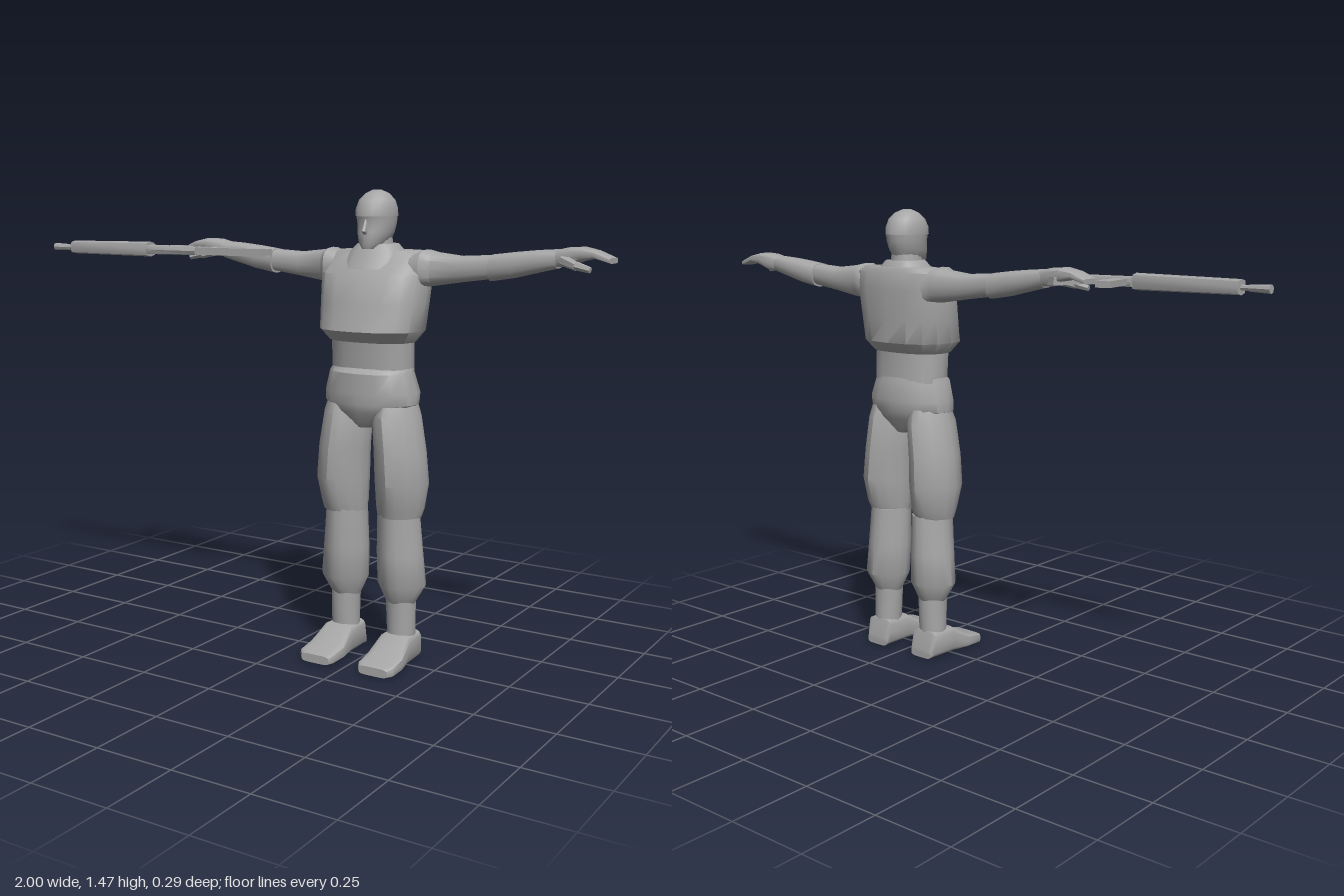
import * as THREE from 'three';
import { toCreasedNormals } from 'three/addons/utils/BufferGeometryUtils.js';

const grey = new THREE.MeshStandardMaterial({ color: 0xa6a6a6 });
grey.name = 'plain grey';

// Superellipse loft along an axis. Each section is [position, uMin, uMax, vMin, vMax, own power].
// Axis x: u = y, v = z.  Axis y: u = z, v = x.  Axis z: u = x, v = y.
function loft(axis, sections, power = 2.6, sides = 16) {
  const a = 'xyz'.indexOf(axis), u = (a + 1) % 3, v = (a + 2) % 3;
  const pos = [], idx = [];
  const push = (t, p, q) => { const o = []; o[a] = t; o[u] = p; o[v] = q; pos.push(...o); };
  const bend = (c, n) => Math.sign(c) * Math.pow(Math.abs(c), 2 / n);
  for (const [t, u0, u1, v0, v1, n = power] of sections) {
    for (let j = 0; j < sides; j++) {
      const w = (j / sides) * Math.PI * 2;
      push(t, (u0 + u1) / 2 + bend(Math.cos(w), n) * (u1 - u0) / 2, (v0 + v1) / 2 + bend(Math.sin(w), n) * (v1 - v0) / 2);
    }
  }
  const last = sections.length - 1, base = sections.length * sides;
  for (const s of [sections[0], sections[last]]) push(s[0], (s[1] + s[2]) / 2, (s[3] + s[4]) / 2);
  for (let j = 0; j < sides; j++) {
    const k = (j + 1) % sides;
    for (let i = 0; i < last; i++) {
      const p = i * sides, q = p + sides;
      idx.push(p + j, p + k, q + k, p + j, q + k, q + j);
    }
    idx.push(base, k, j, base + 1, last * sides + j, last * sides + k);
  }
  const g = new THREE.BufferGeometry();
  g.setAttribute('position', new THREE.Float32BufferAttribute(pos, 3));
  g.setIndex(idx);
  return toCreasedNormals(g, 0.7);
}

// Mirror across x = 0, keeping the faces pointing outward
function mirrored(g) {
  const m = g.clone(), p = m.attributes.position, n = m.attributes.normal;
  for (const at of [p, n]) {
    for (let i = 0; i < at.count; i += 3) {
      const t = [0, 2, 1].map((k) => [-at.getX(i + k), at.getY(i + k), at.getZ(i + k)]);
      t.forEach((c, k) => at.setXYZ(i + k, ...c));
    }
  }
  return m;
}

// Tapered rod between two points
function rod(from, to, r0, r1, sides = 6) {
  const a = new THREE.Vector3(...from), b = new THREE.Vector3(...to), d = b.clone().sub(a);
  const g = new THREE.CylinderGeometry(r1, r0, d.length(), sides).toNonIndexed();
  g.applyQuaternion(new THREE.Quaternion().setFromUnitVectors(new THREE.Vector3(0, 1, 0), d.normalize()));
  g.translate(...a.add(b).multiplyScalar(0.5).toArray());
  return toCreasedNormals(g, 0.7);
}

function add(group, name, g) {
  const m = new THREE.Mesh(g, grey);
  m.name = name;
  group.add(m);
}

export function createModel() {
  const model = new THREE.Group();
  const body = new THREE.Group();
  body.name = 'body';
  body.position.x = 0.257;
  model.add(body);
  const pair = (name, g) => {
    add(body, 'left' + name, g);
    add(body, 'right' + name, mirrored(g));
  };

  // Head, cap and neck
  add(body, 'head', loft('y', [
    [1.295, -0.02, 0.033, -0.02, 0.02], [1.312, -0.085, 0.038, -0.04, 0.04],
    [1.345, -0.104, 0.036, -0.052, 0.052], [1.372, -0.112, 0.032, -0.056, 0.056],
    [1.395, -0.115, 0.038, -0.058, 0.058],
  ], 2.1));
  add(body, 'cap', loft('y', [
    [1.392, -0.116, 0.04, -0.06, 0.06], [1.415, -0.114, 0.038, -0.06, 0.06],
    [1.44, -0.102, 0.024, -0.053, 0.053], [1.46, -0.08, 0.002, -0.036, 0.036], [1.471, -0.05, -0.025, -0.014, 0.014],
  ], 2.1));
  add(body, 'nose', loft('y', [
    [1.338, 0.02, 0.036, -0.009, 0.009], [1.348, 0.02, 0.051, -0.009, 0.009], [1.385, 0.015, 0.035, -0.005, 0.005],
  ], 2, 8));
  add(body, 'neck', loft('y', [[1.24, -0.1, 0.02, -0.055, 0.055], [1.33, -0.093, 0.012, -0.044, 0.044]], 2.2));

  // Torso
  add(body, 'chest', loft('y', [
    [1.015, -0.107, 0.07, -0.14, 0.14, 2.3], [1.05, -0.14, 0.107, -0.166, 0.166, 2.4],
    [1.13, -0.143, 0.085, -0.172, 0.172, 2.5], [1.22, -0.145, 0.06, -0.176, 0.176],
    [1.275, -0.142, 0.005, -0.162, 0.162], [1.29, -0.135, -0.005, -0.135, 0.135],
  ], 2.8));
  add(body, 'collar', loft('y', [
    [1.235, -0.13, 0.05, -0.1, 0.1], [1.285, -0.12, 0.025, -0.085, 0.085], [1.31, -0.105, 0.01, -0.06, 0.06],
  ]));
  add(body, 'waist', loft('y', [[0.92, -0.11, 0.06, -0.133, 0.133], [1.03, -0.107, 0.07, -0.133, 0.133]], 2.3));
  add(body, 'hips', loft('y', [
    [0.75, -0.085, 0.045, -0.03, 0.03], [0.8, -0.112, 0.075, -0.125, 0.125], [0.825, -0.12, 0.08, -0.155, 0.155],
    [0.86, -0.126, 0.081, -0.156, 0.156], [0.92, -0.115, 0.08, -0.138, 0.138], [0.935, -0.11, 0.062, -0.134, 0.134],
  ], 2.1));

  // Legs, with a soft ridge down the front, back and sides
  pair('Thigh', loft('y', [
    [0.473, -0.1, 0.048, 0.024, 0.172], [0.5, -0.112, 0.057, 0.02, 0.18], [0.58, -0.13, 0.08, 0.018, 0.192],
    [0.68, -0.125, 0.08, 0.014, 0.183], [0.79, -0.12, 0.075, 0.006, 0.164], [0.85, -0.1, 0.05, 0.02, 0.145],
  ], 1.6));
  pair('Shin', loft('y', [
    [0.19, -0.086, 0.008, 0.05, 0.148], [0.25, -0.117, 0.04, 0.022, 0.184],
    [0.35, -0.113, 0.044, 0.02, 0.174], [0.48, -0.106, 0.047, 0.024, 0.162],
  ], 1.65));
  pair('Ankle', loft('y', [[0.08, -0.087, 0.004, 0.057, 0.147], [0.21, -0.087, 0.01, 0.052, 0.148]], 2));
  pair('Foot', loft('z', [
    [-0.102, 0.058, 0.142, 0, 0.03], [-0.085, 0.053, 0.151, 0, 0.09], [0.005, 0.049, 0.157, 0, 0.091],
    [0.07, 0.042, 0.168, 0, 0.048], [0.13, 0.044, 0.168, 0, 0.036], [0.147, 0.054, 0.154, 0, 0.028],
  ], 4.5));

  // Arms stretched out to the sides
  pair('UpperArm', loft('x', [
    [0.13, 1.17, 1.28, -0.125, 0.01], [0.165, 1.182, 1.295, -0.12, 0.01], [0.19, 1.186, 1.288, -0.116, -0.015],
    [0.28, 1.2, 1.278, -0.104, -0.025], [0.39, 1.215, 1.284, -0.1, -0.024],
  ], 2.8));
  pair('Forearm', loft('x', [
    [0.378, 1.207, 1.285, -0.104, -0.017], [0.45, 1.219, 1.294, -0.106, -0.017],
    [0.52, 1.236, 1.301, -0.102, -0.022], [0.58, 1.25, 1.305, -0.096, -0.03],
  ], 2.8));
  // Mitten-like hand with bent fingers and a thumb
  pair('Hand', loft('x', [
    [0.57, 1.254, 1.302, -0.094, -0.034], [0.61, 1.256, 1.311, -0.103, -0.03], [0.65, 1.272, 1.313, -0.105, -0.029],
    [0.69, 1.281, 1.304, -0.105, -0.03], [0.738, 1.268, 1.284, -0.103, -0.033],
  ], 4));
  pair('Thumb', rod([0.6, 1.275, -0.04], [0.65, 1.26, -0.014], 0.017, 0.013));
  pair('ThumbTip', rod([0.645, 1.262, -0.016], [0.692, 1.251, -0.01], 0.013, 0.009));

  // Rifle lying along the right arm
  const rifle = new THREE.Group();
  rifle.name = 'rifle';
  model.add(rifle);
  const block = (name, x0, x1, y0, y1, z0, z1, turn = 0) => {
    const g = new THREE.BoxGeometry(x1 - x0, y1 - y0, z1 - z0).rotateY(turn);
    add(rifle, name, g.translate((x0 + x1) / 2, (y0 + y1) / 2, (z0 + z1) / 2));
  };
  add(rifle, 'muzzle', rod([-1, 1.274, 0.03], [-0.935, 1.274, 0.03], 0.013, 0.01, 8));
  add(rifle, 'barrel', rod([-0.945, 1.274, 0.03], [-0.56, 1.274, 0.03], 0.008, 0.008, 8));
  add(rifle, 'handguard', loft('x', [[-0.91, 1.253, 1.297, 0.007, 0.055], [-0.572, 1.25, 1.3, 0.005, 0.057]], 3, 8));
  add(rifle, 'receiver', loft('x', [[-0.574, 1.258, 1.29, -0.004, 0.057], [-0.37, 1.26, 1.288, -0.004, 0.057]], 4, 8));
  block('magazine', -0.572, -0.527, 1.265, 1.284, -0.125, 0.005, 0.17);
  block('grip', -0.405, -0.37, 1.262, 1.286, -0.11, 0.01, -0.35);
  block('triggerGuard', -0.48, -0.41, 1.269, 1.279, -0.024, -0.016);
  block('stock', -0.38, -0.12, 1.262, 1.286, 0.012, 0.045);
  add(rifle, 'stockStrut', rod([-0.28, 1.274, 0.016], [-0.2, 1.274, -0.02], 0.009, 0.009));
  block('stockHeel', -0.215, -0.12, 1.264, 1.284, -0.024, 0.014);
  return model;
}
